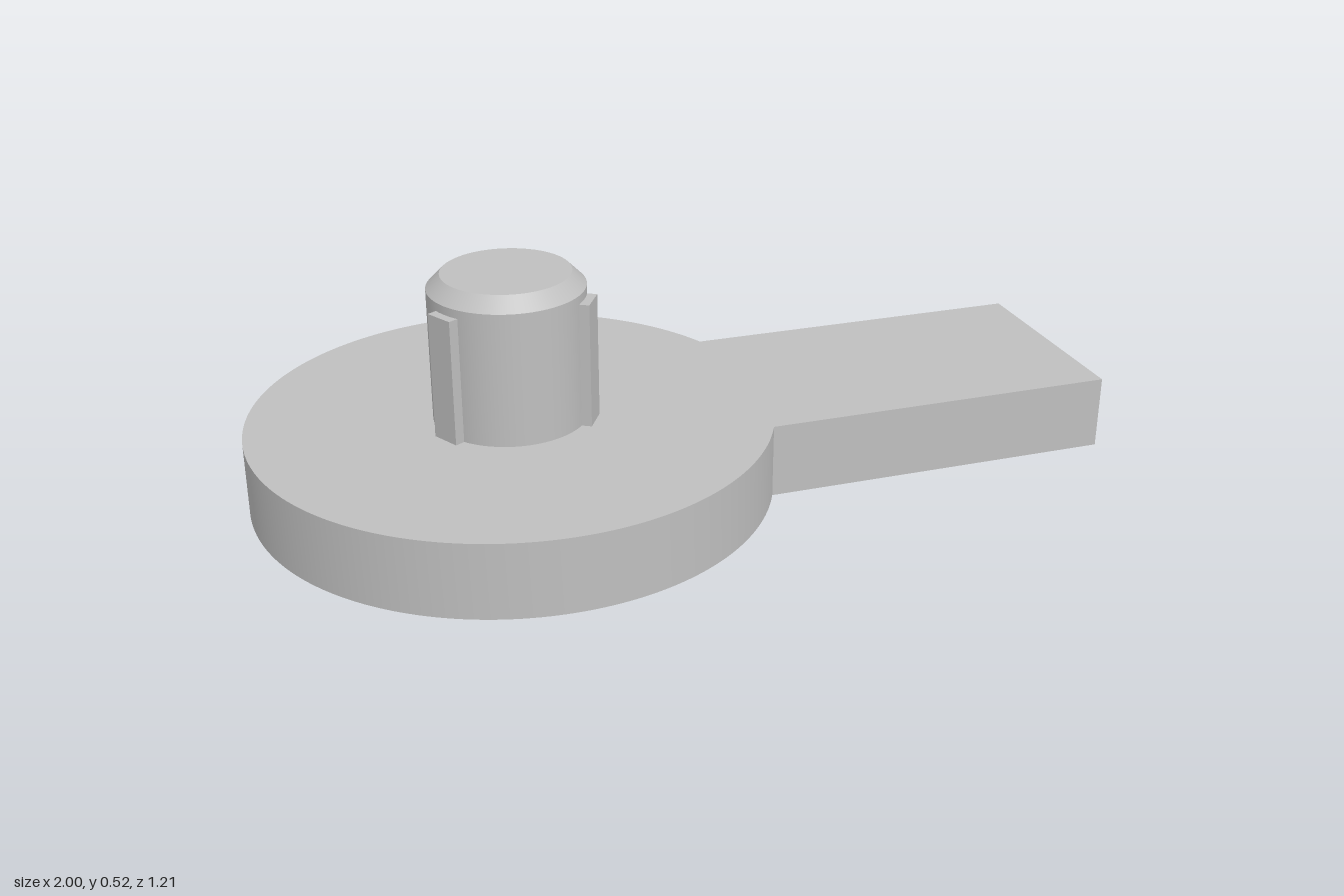
import * as THREE from 'three';
import { toCreasedNormals } from 'three/addons/utils/BufferGeometryUtils.js';

const CX = -0.394;        // axis of disc and post
const DISC_R = 0.606;
const ARM_HALF = 0.26;
const BASE_H = 0.175;
const POST_R = 0.18;

export function createModel() {
  const model = new THREE.Group();
  const grey = new THREE.MeshStandardMaterial({ color: 0xbfbfbf });
  grey.name = 'light grey';

  const add = (name, geometry, parent = model) => {
    const mesh = new THREE.Mesh(geometry, grey);
    mesh.name = name;
    parent.add(mesh);
    return mesh;
  };

  // Base plate: round disc with a straight arm, one outline
  const a = Math.asin(ARM_HALF / DISC_R);
  const outline = new THREE.Shape();
  outline.moveTo(1, -ARM_HALF);
  outline.lineTo(1, ARM_HALF);
  outline.lineTo(CX + DISC_R * Math.cos(a), ARM_HALF);
  outline.absarc(CX, 0, DISC_R, a, Math.PI * 2 - a, false);
  outline.closePath();
  const plate = new THREE.ExtrudeGeometry(outline, { depth: BASE_H, bevelEnabled: false, curveSegments: 96 });
  plate.rotateX(-Math.PI / 2);
  add('basePlate', toCreasedNormals(plate, 0.5));

  // Post with a chamfered top
  const post = new THREE.Group();
  post.name = 'post';
  post.position.set(CX, 0, 0);
  model.add(post);
  const section = (name, rTop, rBottom, y0, y1, open) => {
    const g = new THREE.CylinderGeometry(rTop, rBottom, y1 - y0, 64, 1, open);
    add(name, g.translate(0, (y0 + y1) / 2, 0), post);
  };
  section('postShaft', POST_R, POST_R, BASE_H, 0.49, true);
  section('postChamfer', 0.148, POST_R, 0.49, 0.523, false);

  // Three keys around the post, the first at the back
  const keyTop = 0.47, inner = 0.165, outer = 0.2;
  for (let i = 0; i < 3; i++) {
    const g = new THREE.BoxGeometry(0.07, keyTop - BASE_H, outer - inner);
    g.translate(0, (keyTop + BASE_H) / 2, -(inner + outer) / 2);
    add('key' + (i + 1), g, post).rotation.y = (i * Math.PI * 2) / 3;
  }
  return model;
}
